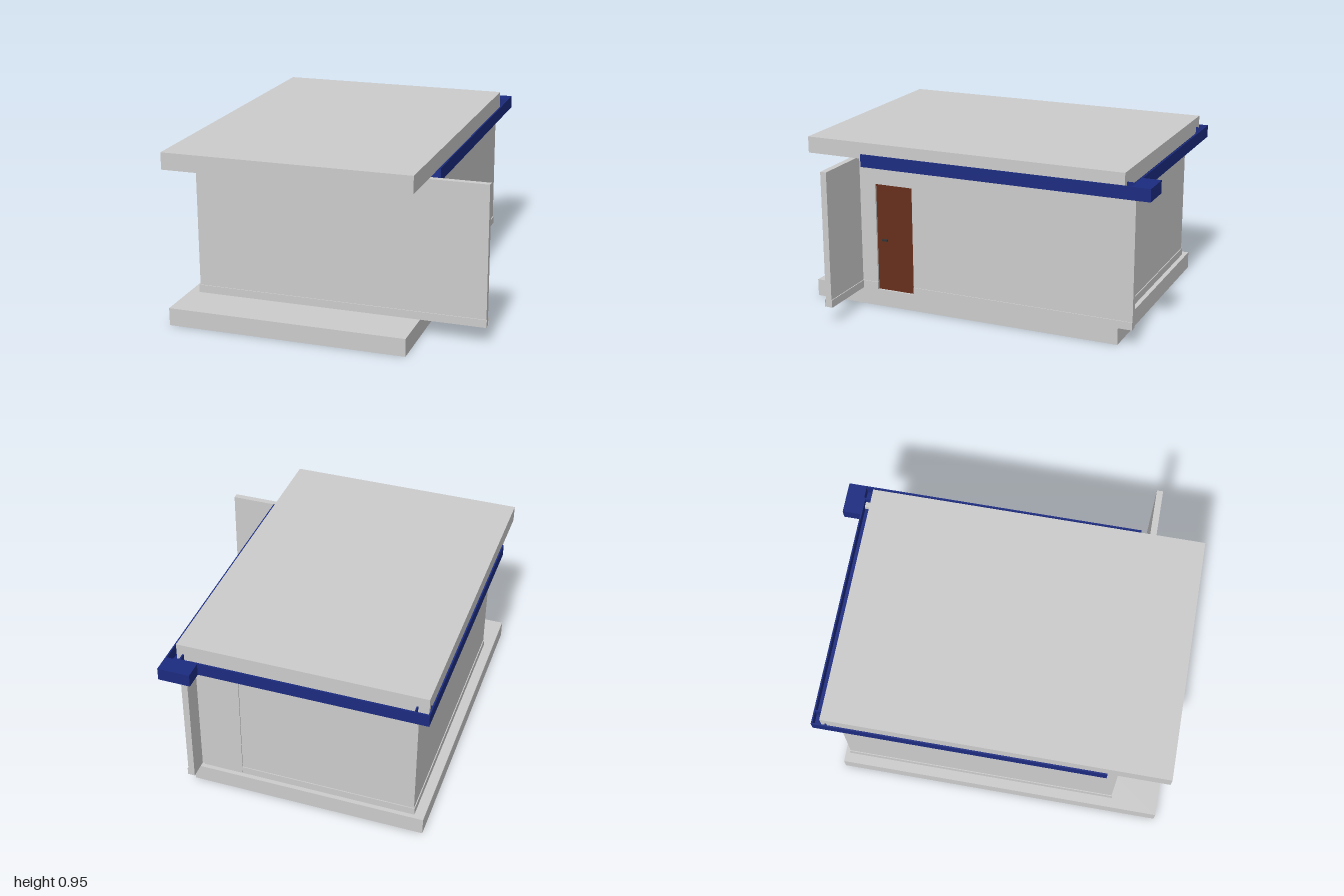
import * as THREE from 'three';

const grey = new THREE.MeshStandardMaterial({ color: 0xcccccc });
const blue = new THREE.MeshStandardMaterial({ color: 0x1c2c80 });
const brown = new THREE.MeshStandardMaterial({ color: 0x662f1b });
const dark = new THREE.MeshStandardMaterial({ color: 0x333333 });

export function createModel() {
  const group = new THREE.Group();

  // Box given by its limits along each axis
  const block = (name, [x0, x1], [y0, y1], [z0, z1], mat = grey) => {
    const mesh = new THREE.Mesh(new THREE.BoxGeometry(x1 - x0, y1 - y0, z1 - z0), mat);
    mesh.position.set((x0 + x1) / 2, (y0 + y1) / 2, (z0 + z1) / 2);
    mesh.name = name;
    group.add(mesh);
    return mesh;
  };

  const floor = 0.097, top = 0.86, skirtTop = 0.14, lip = 0.005;
  const left = -0.76, right = 0.485, back = -0.79, thick = 0.035;
  const wallY = [floor, top], skirtY = [floor, skirtTop];

  // Slabs
  block('baseSlab', [-0.82, right], [0, floor], [-0.82, 1]);
  block('roofSlab', [-0.825, 0.52], [top, 0.952], [-0.85, 1]);

  // Front wall runs past the right side as a wing; right wall runs past the back
  block('frontWall', [left, 0.835], wallY, [0.7, 0.735]);
  block('leftWall', [left, left + thick], wallY, [back, 0.7]);
  block('backWall', [left + thick, right - thick], wallY, [back, back + thick]);

  // Right wall with a doorway, drawn along -z and extruded across x
  const doorZ = [0.38, 0.605], doorTop = 0.715;
  const outline = new THREE.Shape();
  [[-0.7, floor], [-doorZ[1], floor], [-doorZ[1], doorTop], [-doorZ[0], doorTop],
    [-doorZ[0], floor], [0.9, floor], [0.9, top], [-0.7, top]]
    .forEach(([a, b], i) => (i ? outline.lineTo(a, b) : outline.moveTo(a, b)));
  const rightWall = new THREE.Mesh(
    new THREE.ExtrudeGeometry(outline, { depth: thick, bevelEnabled: false }), grey);
  rightWall.rotation.y = Math.PI / 2;
  rightWall.position.x = right - thick;
  rightWall.name = 'rightWall';
  group.add(rightWall);

  // Doors and handle
  block('sideDoor', [right - 0.028, right - 0.012], [floor, doorTop], doorZ, brown);
  block('sideDoorHandle', [right - 0.012, right + 0.004], [0.388, 0.398], [0.54, 0.57], dark);
  block('backDoor', [0.21, 0.435], [floor, 0.735], [back - 0.006, back]);

  // Skirting, broken at the doors
  block('frontSkirting', [left - lip, 0.838], skirtY, [0.735, 0.735 + lip]);
  block('wingSkirting', [right, 0.838], skirtY, [0.7 - lip, 0.7]);
  block('leftSkirting', [left - lip, left], skirtY, [back - lip, 0.735]);
  block('backSkirting', [left, 0.21], skirtY, [back - lip, back]);
  block('rightSkirtingFront', [right, right + lip], skirtY, [doorZ[1], 0.7]);
  block('rightSkirtingBack', [right, right + lip], skirtY, [-0.9, doorZ[0]]);

  // Open U-shaped gutter channel, extruded along its length
  const gutter = (name, length, x, z, turn) => {
    const w = 0.04, h = 0.07, t = 0.008;
    const u = new THREE.Shape();
    [[-w, 0], [w, 0], [w, h], [w - t, h], [w - t, t], [t - w, t], [t - w, h], [-w, h]]
      .forEach(([a, b], i) => (i ? u.lineTo(a, b) : u.moveTo(a, b)));
    const mesh = new THREE.Mesh(
      new THREE.ExtrudeGeometry(u, { depth: length, bevelEnabled: false }), blue);
    mesh.position.set(x, 0.826, z);
    mesh.rotation.y = turn;
    mesh.name = name;
    group.add(mesh);
  };
  gutter('leftGutter', 1.57, -0.8, -0.9, 0);
  gutter('rightGutter', 1.55, 0.52, -0.9, 0);
  gutter('backGutter', 1.32, -0.84, -0.86, Math.PI / 2);

  // Rain box at the back corner
  block('rainBox', [0.385, 0.56], [0.826, 0.896], [-1, -0.9], blue);

  return group;
}
